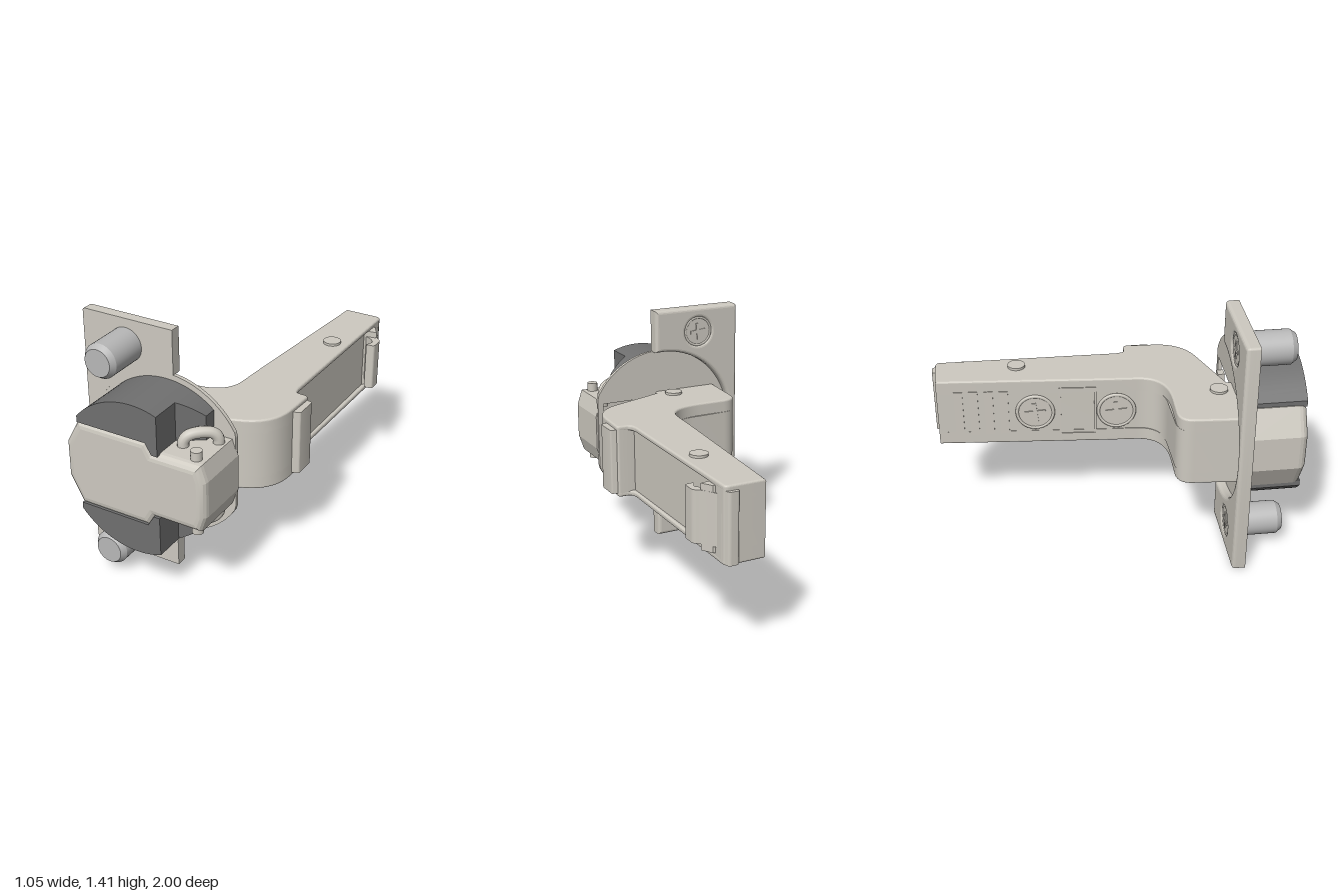
import * as THREE from 'three';
import { toCreasedNormals } from 'three/addons/utils/BufferGeometryUtils.js';

const mat = (color) => new THREE.MeshStandardMaterial({ color });
const CX = -0.03, CY = 0.705; // cup centre

export function createModel() {
  const root = new THREE.Group();
  const metal = mat(0xcdc9c0), dark = mat(0x707070), dowelGrey = mat(0xb8b8b8);

  function add(name, geo, material = metal, parent = root) {
    const m = new THREE.Mesh(geo, material);
    m.name = name;
    parent.add(m);
  }
  const box = (x0, x1, y0, y1, z0, z1) =>
    new THREE.BoxGeometry(x1 - x0, y1 - y0, z1 - z0).translate((x0 + x1) / 2, (y0 + y1) / 2, (z0 + z1) / 2);

  // closed outline from [x, y, cornerRadius] points
  function outline(pts) {
    const s = new THREE.Shape(), n = pts.length;
    pts.forEach(([x, y, r = 0], i) => {
      const toward = (q) => {
        const d = Math.hypot(q[0] - x, q[1] - y), t = Math.min(r / d, 0.5);
        return [x + (q[0] - x) * t, y + (q[1] - y) * t];
      };
      const a = toward(pts[(i + n - 1) % n]), b = toward(pts[(i + 1) % n]);
      if (i) s.lineTo(...a); else s.moveTo(...a);
      if (r) s.quadraticCurveTo(x, y, ...b);
    });
    return s;
  }
  // extrude from z0 to z1, bevel kept inside the outline
  const slab = (shape, z0, z1, b = 0) => toCreasedNormals(new THREE.ExtrudeGeometry(shape, {
    depth: z1 - z0 - 2 * b, bevelEnabled: b > 0, bevelSize: b, bevelThickness: b,
    bevelOffset: -b, bevelSegments: 4, curveSegments: 16,
  }).translate(0, 0, z0 + b), 0.19);
  // prism along y from an outline given as [x, z, radius]
  const prism = (pts, y0, y1, b = 0) =>
    slab(outline(pts.map(([x, z, r]) => [x, -z, r])), y0, y1, b).rotateX(-Math.PI / 2);

  // cross-head screw facing +z
  function screw(name, r) {
    const g = new THREE.Group();
    g.name = name;
    add(name + 'Head', new THREE.CylinderGeometry(r * 0.9, r * 0.9, 0.02, 32).rotateX(Math.PI / 2), metal, g);
    add(name + 'Rim', new THREE.TorusGeometry(r * 0.93, r * 0.09, 8, 40).translate(0, 0, 0.006), metal, g);
    for (const a of [0, Math.PI / 2])
      add(name + 'Cross', new THREE.BoxGeometry(r * 1.1, r * 0.22, 0.012).rotateZ(a + 0.1).translate(0, 0, 0.01), metal, g);
    root.add(g);
    return g;
  }

  // mounting plate with round notch, bevelled at the back, with screw holes
  const R = 0.457, a = Math.acos((0.015 - CX) / R);
  const plateShape = () => {
    const s = new THREE.Shape();
    s.moveTo(-0.51, 0);
    s.lineTo(0.015, 0);
    s.lineTo(0.015, CY - R * Math.sin(a));
    s.absarc(CX, CY, R, -a, a, true);
    s.lineTo(0.015, 1.41);
    s.lineTo(-0.51, 1.41);
    s.quadraticCurveTo(-0.525, 1.41, -0.525, 1.395);
    s.lineTo(-0.525, 0.015);
    s.quadraticCurveTo(-0.525, 0, -0.51, 0);
    return s;
  };
  const plateBack = plateShape();
  for (const y of [0.15, 1.265])
    plateBack.holes.push(new THREE.Path().absarc(-0.265, y, 0.085, 0, Math.PI * 2, true));
  add('mountingPlate', slab(plateBack, 0.605, 0.675, 0.02));
  add('mountingPlateFront', slab(plateShape(), 0.64, 0.68));

  // thin round flange with opening for the arm
  const rim = [];
  for (let i = 0; i < 96; i++) {
    const t = (i / 96) * Math.PI * 2;
    rim.push(new THREE.Vector2(Math.min(0.375, CX + 0.46 * Math.cos(t)), CY + 0.46 * Math.sin(t)));
  }
  const opening = () => outline([[-0.39, 0.53], [-0.39, 0.88], [0.34, 0.88], [0.34, 0.53]]);
  const flange = new THREE.Shape(rim);
  flange.holes.push(opening());
  add('flange', slab(flange, 0.658, 0.679));

  // dowels and their sunk screws
  for (const y of [0.15, 1.265]) {
    const pts = [[0, 0.66], [0.095, 0.66], [0.095, 0.895], [0.075, 0.925], [0, 0.925]].map((p) => new THREE.Vector2(...p));
    const lathe = new THREE.LatheGeometry(pts, 40).rotateX(Math.PI / 2).translate(-0.265, y, 0);
    add('dowel', toCreasedNormals(lathe, 0.3), dowelGrey);
    const s = screw('plateScrew', 0.09);
    s.position.set(-0.265, y, 0.624);
    s.rotation.y = Math.PI;
  }

  // cup housing: hollow wall with a rounded front cap
  const half = [[-0.445, 0.1], [-0.365, 0.25], [0.055, 0.25], [0.09, 0.19], [0.355, 0.19], [0.385, 0.1]];
  const house = () => outline([...half.map(([x, y]) => [x, CY + y]), ...half.slice().reverse().map(([x, y]) => [x, CY - y])]);
  const wall = house();
  wall.holes.push(opening());
  add('cupWall', slab(wall, 0.67, 0.95));
  add('cupCap', slab(house(), 0.85, 1, 0.045));

  // dark cup sides, wire loops and pins, mirrored top and bottom
  const chord = (x0, x1, s, inner) => {
    const p = [];
    for (let i = 0; i <= 20; i++) {
      const x = x0 + ((x1 - x0) * i) / 20;
      p.push(new THREE.Vector2(x, CY + s * Math.sqrt(0.43 ** 2 - (x - CX) ** 2)));
    }
    for (const [x, y] of inner) p.push(new THREE.Vector2(x, CY + s * y));
    return new THREE.Shape(p);
  };
  for (const s of [1, -1]) {
    const side = chord(-0.36, 0.12, s, [[0.12, 0.18], [0.085, 0.18], [0.05, 0.24], [-0.36, 0.24]]);
    add('cupSide', slab(side, 0.68, 0.998), dark);
    const wedge = slab(chord(0.12, 0.25, s, [[0.25, 0.18], [0.12, 0.18]]), 0.68, 0.83), pos = wedge.attributes.position;
    for (let i = 0; i < pos.count; i++)
      if (pos.getZ(i) > 0.7) pos.setZ(i, 0.83 - (pos.getX(i) - 0.12) * 0.6);
    wedge.computeVertexNormals();
    add('cupSlope', wedge, dark);
    const path = new THREE.CatmullRomCurve3(
      [[0.18, 0.14, 0.85], [0.18, 0.22, 0.85], [0.205, 0.25, 0.83], [0.285, 0.25, 0.76], [0.31, 0.22, 0.74], [0.31, 0.14, 0.74]]
        .map(([x, y, z]) => new THREE.Vector3(x, CY + s * y, z)));
    add('springLoop', new THREE.TubeGeometry(path, 40, 0.03, 12));
    add('cupPin', new THREE.CylinderGeometry(0.03, 0.03, 0.1, 20).translate(0.3, CY + s * 0.188, 0.925));
    add('hingeLink', box(-0.3, -0.04, CY + s * 0.09 - 0.04, CY + s * 0.09 + 0.04, 0.55, 0.9));
  }
  add('innerLink', box(0.05, 0.09, 0.6, 0.81, 0.66, 0.9));
  add('linkTab', box(0.29, 0.345, 0.62, 0.79, 0.65, 0.69));

  // arm: thin side walls, inner cheeks and a core; the outer face is sunk and the bend is scooped
  const foot = [[0, 0.635], [0, 0.67], [-0.39, 0.67], [-0.365, 0.305, 0.09]];
  const bulge = [[0.415, 0.11, 0.02], [0.49, 0.115, 0.02], [0.475, 0.46, 0.17]];
  const tip = [[0.19, -0.98], [0.415, -0.98, 0.03]];
  const bend = [[0.09, 0.31, 0.36], [0.112, -0.02]];
  const sunk = [...tip, [0.412, -0.82], [0.39, -0.8], [0.39, 0.11], ...bulge.slice(1), ...foot];
  const scoop = [[0.1, 0.29, 0.17], [0.115, -0.02]];
  for (const [y0, y1, c0, c1] of [[0.5, 0.53, 0.511, 0.58], [0.882, 0.912, 0.83, 0.901]]) {
    add('armWall', prism([...tip, [0.405, 0.06], ...bulge, ...foot, ...bend], y0, y1, 0.011));
    add('armCheek', prism([...sunk, ...bend], c0, c1));
  }
  add('armCore', prism([...sunk, ...scoop], 0.57, 0.84));
  add('armStop', prism([[0.46, 0.12], [0.522, 0.135, 0.01], [0.522, 0.265, 0.01], [0.46, 0.285]], 0.52, 0.89));

  // rivets through the arm
  for (const [x, z] of [[0.315, -0.52], [-0.08, 0.575]])
    add('rivet', new THREE.CylinderGeometry(0.05, 0.05, 0.44, 28).translate(x, 0.706, z));

  // release clip and end strip
  add('releaseClip', prism([[0.4, -0.92], [0.42, -0.89, 0.02], [0.455, -0.83, 0.02], [0.495, -0.8, 0.02], [0.495, -0.715, 0.015],
    [0.442, -0.71, 0.01], [0.465, -0.76, 0.01], [0.44, -0.79, 0.01], [0.4, -0.81]], 0.57, 0.85));
  add('clipBase', prism([[0.4, -0.89], [0.425, -0.88], [0.46, -0.82], [0.4, -0.81]], 0.535, 0.885));
  add('endStrip', prism([[0.335, -0.96], [0.345, -1, 0.012], [0.4, -1, 0.015], [0.415, -0.95]], 0.505, 0.885));

  // details on the slanted back face: screws, window frame and grip ribs
  const faceX = (z) => 0.112 - (z + 0.02) * 0.081;
  const turn = Math.atan2(-0.997, -0.081);
  for (const z of [-0.43, 0.03]) {
    const s = screw('adjustScrew', 0.11);
    s.position.set(faceX(z) + 0.005, CY, z);
    s.rotation.y = turn;
  }
  const strip = (name, z, y, w, h) =>
    add(name, new THREE.BoxGeometry(w, h, 0.01).rotateY(turn).translate(faceX(z), y, z));
  for (const d of [-1, 1]) {
    strip('windowFrame', -0.19 + d * 0.1, CY, 0.012, 0.3);
    strip('windowFrame', -0.19, CY + d * 0.15, 0.21, 0.012);
  }
  for (let i = 0; i < 4; i++) strip('gripRib', -0.86 + i * 0.085, CY, 0.05, 0.28);

  return root;
}
